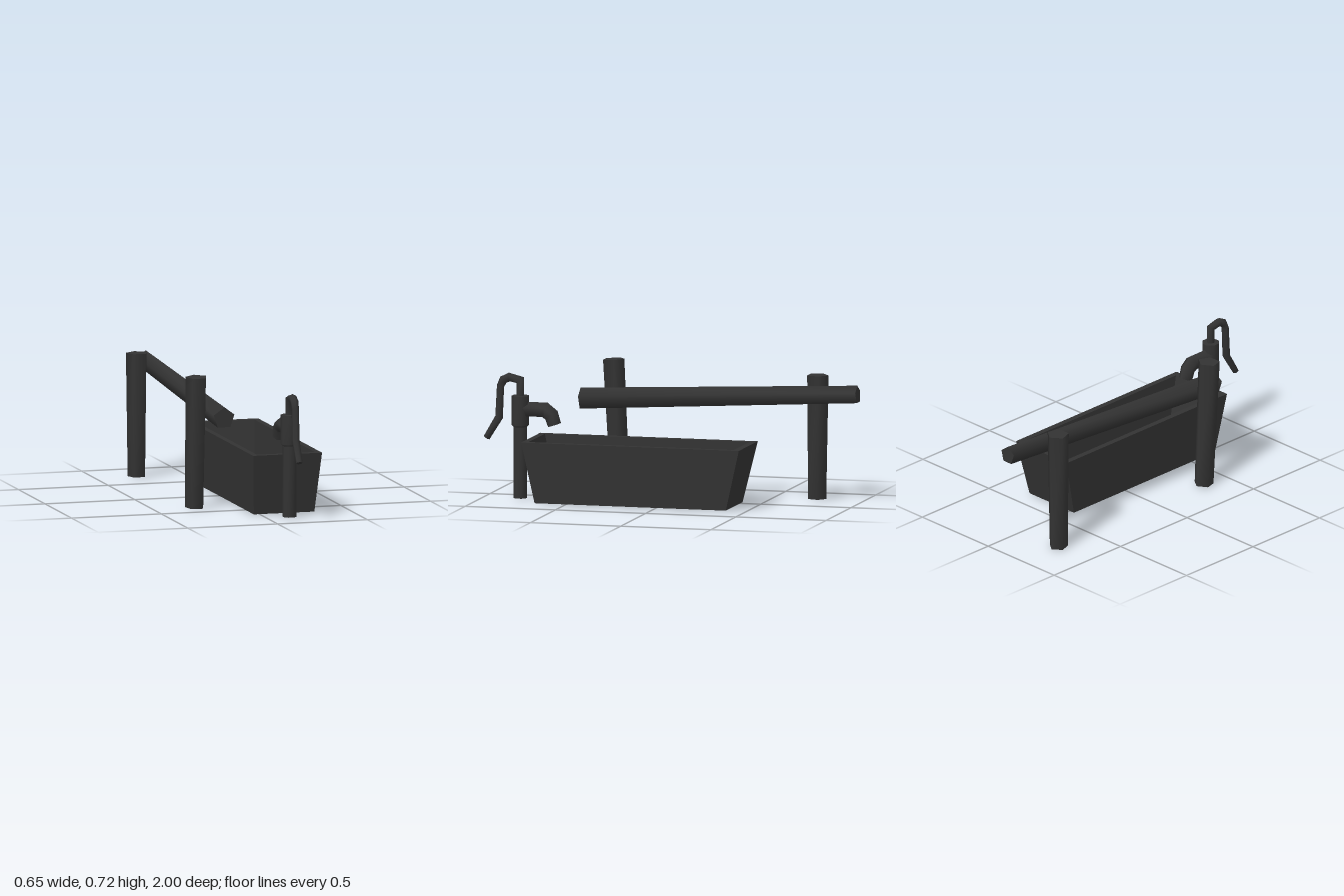
import * as THREE from 'three';

const iron = new THREE.MeshStandardMaterial({ color: 0x333333 });
iron.name = 'dark grey';

// Capped tube along a path of [x, y, z, radius], with mitred joints.
function limb(name, path, sides, phase = 0) {
  const pts = path.map(p => new THREE.Vector3(p[0], p[1], p[2]));
  const pos = [], idx = [], last = pts.length - 1;
  const dir = i => pts[i + 1].clone().sub(pts[i]).normalize();
  const rings = pts.map((p, i) => {
    const before = dir(Math.max(i - 1, 0)), after = dir(Math.min(i, last - 1));
    const t = before.clone().add(after).normalize();
    const u = new THREE.Vector3(1, 0, 0).addScaledVector(t, -t.x).normalize();
    const n = t.clone().cross(u);
    const r = path[i][3], mitre = 1 / t.dot(after);
    return Array.from({ length: sides }, (_, j) => {
      const a = phase + j / sides * Math.PI * 2;
      return p.clone().addScaledVector(n, r * mitre * Math.cos(a)).addScaledVector(u, r * Math.sin(a));
    });
  });
  rings.forEach(ring => ring.forEach(v => pos.push(...v.toArray())));
  for (let i = 0; i < last; i++) {
    for (let j = 0; j < sides; j++) {
      const k = (j + 1) % sides, a = i * sides, b = a + sides;
      idx.push(a + j, b + j, a + k, b + j, b + k, a + k);
    }
  }
  // flat end caps with their own vertices
  [rings[0], rings[last]].forEach((ring, end) => {
    const base = pos.length / 3;
    ring.forEach(v => pos.push(...v.toArray()));
    for (let j = 1; j < sides - 1; j++) {
      if (end) idx.push(base, base + j + 1, base + j);
      else idx.push(base, base + j, base + j + 1);
    }
  });
  const g = new THREE.BufferGeometry();
  g.setAttribute('position', new THREE.Float32BufferAttribute(pos, 3));
  g.setIndex(idx);
  g.computeVertexNormals();
  const mesh = new THREE.Mesh(g, iron);
  mesh.name = name;
  return mesh;
}

// Open tapered box: rectangles joined from the underside, over the rim, to the inner floor.
function trough() {
  const loops = [ // y, x0, x1, z0, z1
    [0, -0.035, 0.302, -0.39, 0.67],
    [0.328, -0.058, 0.325, -0.468, 0.738],
    [0.328, -0.028, 0.295, -0.434, 0.704],
    [0.035, -0.008, 0.275, -0.364, 0.632],
  ].map(([y, x0, x1, z0, z1]) => [[x0, y, z1], [x1, y, z1], [x1, y, z0], [x0, y, z0]]);
  const pos = [];
  const quad = (a, b, c, d) => [a, b, c, a, c, d].forEach(v => pos.push(...v));
  for (let i = 0; i < 3; i++) {
    for (let j = 0; j < 4; j++) {
      const k = (j + 1) % 4;
      quad(loops[i][j], loops[i][k], loops[i + 1][k], loops[i + 1][j]);
    }
  }
  quad(...loops[3]);
  quad(...loops[0].slice().reverse());
  const g = new THREE.BufferGeometry();
  g.setAttribute('position', new THREE.Float32BufferAttribute(pos, 3));
  g.computeVertexNormals();
  const mesh = new THREE.Mesh(g, iron);
  mesh.name = 'trough';
  return mesh;
}

export function createModel() {
  const model = new THREE.Group();
  model.name = 'waterTroughWithPump';
  model.add(trough());

  // hitching rail: two leaning posts and a sloping beam
  const rail = new THREE.Group();
  rail.name = 'hitchingRail';
  rail.add(
    limb('frontPost', [[-0.269, 0, 0.353, 0.0535], [-0.27, 0.711, 0.39, 0.06]], 5),
    limb('backPost', [[-0.268, 0, -0.738, 0.051], [-0.267, 0.667, -0.742, 0.06]], 5),
    limb('beam', [[-0.145, 0.586, -0.998, 0.05], [-0.162, 0.505, 0.54, 0.06]], 5),
  );

  // hand pump at the front end of the trough
  const pump = new THREE.Group();
  pump.name = 'handPump';
  const x = 0.126, z = 0.797, flat = Math.PI / 8;
  pump.add(
    limb('pumpPipe', [[x, 0, z, 0.037], [x, 0.4, z, 0.037]], 8, flat),
    limb('pumpBody', [[x, 0.385, z, 0.039], [x, 0.395, z, 0.0475], [x, 0.552, z, 0.0475]], 8, flat),
    limb('spout', [
      [x, 0.478, 0.78, 0.0415], [x, 0.478, 0.66, 0.0415],
      [x, 0.452, 0.625, 0.04], [x, 0.4, 0.608, 0.038],
    ], 5, Math.PI),
    limb('handle', [
      [x, 0.54, z, 0.021], [x, 0.635, z, 0.021], [x, 0.65, 0.858, 0.022], [x, 0.633, 0.892, 0.022],
      [x, 0.6, 0.907, 0.02], [x, 0.432, 0.915, 0.021], [x, 0.318, 0.984, 0.018],
    ], 6),
  );

  model.add(rail, pump);
  return model;
}
